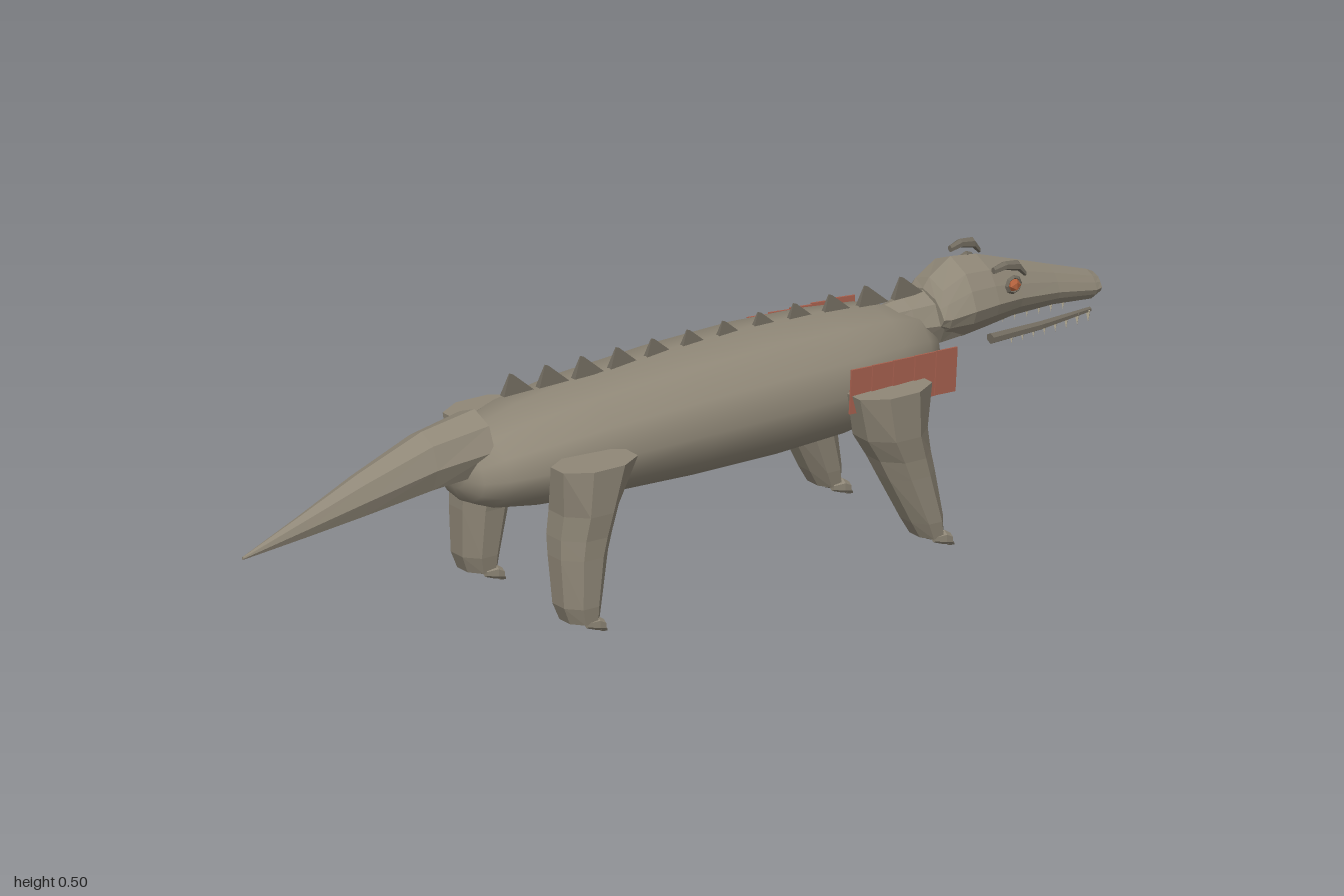
import * as THREE from 'three';

const mat = (name, color, side = THREE.FrontSide) =>
  Object.assign(new THREE.MeshStandardMaterial({ color, side }), { name });

// Joins rings of points into a closed skin; faceted unless smooth
function loft(rings, smooth = false) {
  const n = rings[0].length, pos = rings.flat(2), idx = [];
  for (let i = 0; i < rings.length - 1; i++) {
    for (let j = 0; j < n; j++) {
      const a = i * n + j, b = i * n + (j + 1) % n;
      idx.push(a, b, a + n, b, b + n, a + n);
    }
  }
  const last = (rings.length - 1) * n;
  for (let j = 1; j < n - 1; j++) {
    idx.push(0, j + 1, j, last, last + j, last + j + 1);
  }
  const g = new THREE.BufferGeometry();
  g.setAttribute('position', new THREE.Float32BufferAttribute(pos, 3));
  g.setIndex(idx);
  const out = smooth ? g : g.toNonIndexed();
  out.computeVertexNormals();
  return out;
}

// Ellipse across the x axis
const ringX = (x, y, z, ry, rz, n) => Array.from({ length: n }, (_, i) => {
  const a = i / n * Math.PI * 2;
  return [x, y + Math.cos(a) * ry, z + Math.sin(a) * rz];
});
// Ellipse across the y axis
const ringY = (y, x, z, rx, rz, n) => Array.from({ length: n }, (_, i) => {
  const a = (i + 0.5) / n * Math.PI * 2;
  return [x + Math.sin(a) * rx, y, z + Math.cos(a) * rz];
});
const faceted = (g) => {
  const out = g.index ? g.toNonIndexed() : g;
  out.computeVertexNormals();
  return out;
};

export function createModel() {
  const model = new THREE.Group();
  const skin = mat('skin', 0x8f8777);
  const dark = mat('dark scales', 0x706a5e, THREE.DoubleSide);
  const red = mat('red frill', 0xa8614f, THREE.DoubleSide);
  const eyeMat = mat('eye orange', 0xb0603c);
  const ivory = mat('ivory', 0xbdb49c);
  const add = (name, geo, material, parent = model) => {
    const m = new THREE.Mesh(geo, material);
    m.name = name;
    parent.add(m);
    return m;
  };

  // Barrel body: x, bottom, top, half width
  const body = [
    [-0.505, 0.28, 0.33, 0.04], [-0.49, 0.25, 0.365, 0.085], [-0.45, 0.232, 0.395, 0.115],
    [-0.36, 0.22, 0.42, 0.142], [-0.22, 0.21, 0.44, 0.154], [0, 0.203, 0.455, 0.16],
    [0.2, 0.203, 0.46, 0.16], [0.36, 0.21, 0.454, 0.151], [0.48, 0.223, 0.444, 0.127],
    [0.56, 0.238, 0.42, 0.095], [0.6, 0.255, 0.39, 0.062], [0.615, 0.29, 0.35, 0.025],
  ].map(([x, b, t, w]) => ringX(x, (b + t) / 2, 0, (t - b) / 2, w, 12));
  add('body', loft(body, true), skin);

  // Tail
  const tail = [
    [-1, 0.237, 0.243, 0.003], [-0.86, 0.25, 0.3, 0.02], [-0.73, 0.264, 0.355, 0.038],
    [-0.58, 0.283, 0.41, 0.056], [-0.455, 0.295, 0.43, 0.07],
  ].map(([x, b, t, w]) => ringX(x, (b + t) / 2, 0, (t - b) / 2, w, 8));
  add('tail', loft(tail), skin);

  // Neck
  const neck = [
    [0.48, 0.36, 0.43, 0.025], [0.55, 0.34, 0.442, 0.05],
    [0.61, 0.332, 0.447, 0.062], [0.67, 0.335, 0.455, 0.06],
  ].map(([x, b, t, w]) => ringX(x, (b + t) / 2, 0, (t - b) / 2, w, 8));
  add('neck', loft(neck), skin);

  // Wedge head with a shared half profile: z and y as fractions
  const half = [[0.58, 0.86], [0.82, 0.66], [1, 0.42], [0.88, 0.24], [0.45, 0]];
  const profile = [[0, 1], ...half, [0, 0.07], ...half.map(([z, y]) => [-z, y]).reverse()];
  const head = [
    [0.6, 0.372, 0.45, 0.072], [0.615, 0.358, 0.47, 0.079], [0.665, 0.35, 0.502, 0.089],
    [0.725, 0.356, 0.494, 0.081], [0.79, 0.362, 0.472, 0.066], [0.89, 0.36, 0.438, 0.047],
    [0.985, 0.35, 0.406, 0.036], [1, 0.357, 0.398, 0.031],
  ].map(([x, b, t, w]) => profile.map(([z, y]) => [x, b + (t - b) * y, z * w]));
  add('head', loft(head), skin);

  // Row of back scales
  for (let i = 0; i < 12; i++) {
    const x = -0.355 + i * 0.0835;
    const scale = loft([
      [[x - 0.035, 0.442, -0.007], [x - 0.035, 0.442, 0.007], [x + 0.037, 0.442, 0.004], [x + 0.037, 0.442, -0.004]],
      [[x - 0.018, 0.485, -0.001], [x - 0.018, 0.485, 0.001], [x - 0.01, 0.482, 0.001], [x - 0.01, 0.482, -0.001]],
    ]);
    add('backScale', scale, dark);
  }

  for (const s of [1, -1]) {
    // Lower jaw rail
    add('jawRail', loft([
      ringX(0.72, 0.337, s * 0.056, 0.011, 0.013, 6),
      ringX(0.84, 0.337, s * 0.052, 0.009, 0.01, 6),
      ringX(0.965, 0.34, s * 0.04, 0.005, 0.006, 6),
    ]), dark);
    // Teeth
    for (let i = 0; i < 8; i++) {
      const x = 0.77 + i * 0.027;
      const tooth = add('tooth', faceted(new THREE.ConeGeometry(0.006, 0.026, 4)), ivory);
      tooth.rotation.x = Math.PI;
      tooth.position.set(x, 0.328, s * (0.055 - i * 0.0018));
    }

    // Eye and hooked brow
    const eye = add('eye', faceted(new THREE.IcosahedronGeometry(0.014, 0)), eyeMat);
    eye.position.set(0.757, 0.448, s * 0.082);
    const socket = add('eyeSocket', faceted(new THREE.TorusGeometry(0.015, 0.005, 4, 8)), dark);
    socket.position.set(0.757, 0.448, s * 0.08);
    add('brow', loft([
      ringX(0.715, 0.483, s * 0.073, 0.007, 0.007, 6),
      ringX(0.74, 0.489, s * 0.075, 0.009, 0.01, 6),
      ringX(0.77, 0.484, s * 0.076, 0.011, 0.011, 6),
      ringX(0.785, 0.466, s * 0.077, 0.007, 0.008, 6),
    ]), dark);

    // Shoulder frill of five thin plates
    for (let i = 0; i < 5; i++) {
      const plate = add('frillPlate', new THREE.BoxGeometry(0.051, 0.09, 0.004), red);
      plate.position.set(0.332 + i * 0.05, 0.352 - i * 0.001, s * 0.174);
      plate.rotation.y = s * 0.06;
      plate.rotation.z = -0.06;
    }

    // Legs: y, x centre, z centre, half depth, half width
    const legs = {
      frontLeg: [
        [0.025, 0.488, 0.172, 0.03, 0.046], [0.06, 0.477, 0.171, 0.04, 0.052],
        [0.16, 0.442, 0.166, 0.058, 0.059], [0.2, 0.428, 0.163, 0.064, 0.064],
        [0.25, 0.407, 0.166, 0.076, 0.068], [0.345, 0.395, 0.182, 0.092, 0.056],
      ],
      hindLeg: [
        [0.025, -0.328, 0.172, 0.038, 0.046], [0.06, -0.333, 0.171, 0.048, 0.052],
        [0.16, -0.328, 0.166, 0.06, 0.059], [0.2, -0.322, 0.163, 0.066, 0.064],
        [0.25, -0.314, 0.166, 0.07, 0.068], [0.345, -0.3, 0.182, 0.095, 0.056],
      ],
    };
    for (const [name, rows] of Object.entries(legs)) {
      const leg = new THREE.Group();
      leg.name = name;
      model.add(leg);
      add('limb', loft(rows.map(([y, x, z, rx, rz]) => ringY(y, x, s * z, rx, rz, 8))), skin, leg);
      // Four toes with claws
      const toeX = rows[0][1] + 0.012;
      for (let i = 0; i < 4; i++) {
        const z = s * (0.134 + i * 0.0245);
        add('toe', loft([
          ringX(toeX - 0.02, 0.024, z, 0.008, 0.008, 6),
          ringX(toeX + 0.005, 0.022, z, 0.015, 0.012, 6),
          ringX(toeX + 0.02, 0.016, z, 0.011, 0.01, 6),
        ]), skin, leg);
        add('claw', loft([
          ringX(toeX + 0.012, 0.013, z, 0.01, 0.008, 5),
          ringX(toeX + 0.028, 0.004, z, 0.003, 0.002, 5),
        ]), dark, leg);
      }
    }
  }

  return model;
}
